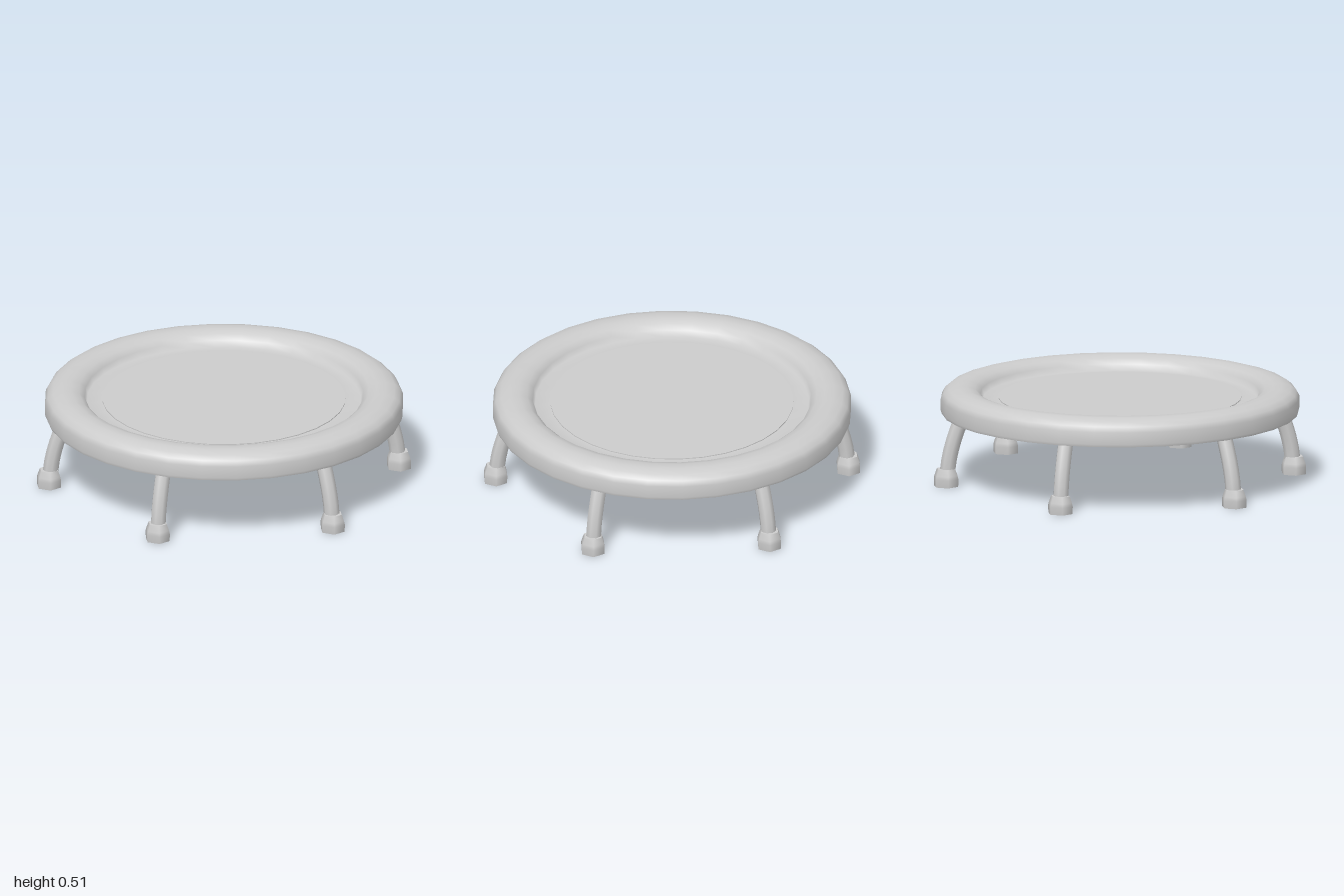
import * as THREE from 'three';

const material = new THREE.MeshStandardMaterial({ color: 0xcccccc, side: THREE.DoubleSide });

function lathe(name, profile, sides, start = 0) {
  const points = profile.map(([r, y]) => new THREE.Vector2(r, y));
  const mesh = new THREE.Mesh(new THREE.LatheGeometry(points, sides, start), material);
  mesh.name = name;
  return mesh;
}

// One leg, bent inward at the top and standing in a hexagonal foot
function makeLeg() {
  const leg = new THREE.Group();
  const path = new THREE.CatmullRomCurve3([
    [0.04, 0.935], [0.12, 0.928], [0.2, 0.912], [0.28, 0.888], [0.37, 0.855], [0.44, 0.828],
  ].map(([y, z]) => new THREE.Vector3(0, y, z)));
  const tube = new THREE.Mesh(new THREE.TubeGeometry(path, 8, 0.042, 8), material);
  tube.name = 'legTube';

  const foot = new THREE.Group();
  foot.name = 'foot';
  foot.add(
    lathe('footSole', [[0, 0], [0.068, 0]], 6, Math.PI / 6),
    lathe('footBody', [[0.068, 0], [0.07, 0.04], [0.065, 0.06], [0.052, 0.095]], 6, Math.PI / 6),
    lathe('footTop', [[0.052, 0.095], [0, 0.095]], 6, Math.PI / 6),
  );
  foot.position.z = 0.94;
  leg.add(tube, foot);
  return leg;
}

export function createModel() {
  const model = new THREE.Group();
  model.name = 'trampoline';

  // Padded rim, running down its inner wall into the skirt around the mat
  model.add(lathe('rimPad', [
    [0.95, 0.37], [0.955, 0.385], [0.955, 0.45], [0.94, 0.478], [0.912, 0.5], [0.865, 0.514],
    [0.815, 0.514], [0.772, 0.5], [0.742, 0.475], [0.73, 0.442], [0.64, 0.45],
  ], 32));

  // Sloping underside of the rim and skirt
  model.add(lathe('rimUnderside', [[0.64, 0.437], [0.73, 0.438], [0.95, 0.37]], 32));

  // Jumping mat
  const mat = new THREE.Mesh(new THREE.CylinderGeometry(0.648, 0.648, 0.02, 32), material);
  mat.name = 'mat';
  mat.position.y = 0.444;
  model.add(mat);

  // Six legs, evenly spaced
  for (let i = 0; i < 6; i++) {
    const leg = makeLeg();
    leg.name = `leg${i + 1}`;
    leg.rotation.y = (i * Math.PI) / 3;
    model.add(leg);
  }
  return model;
}
